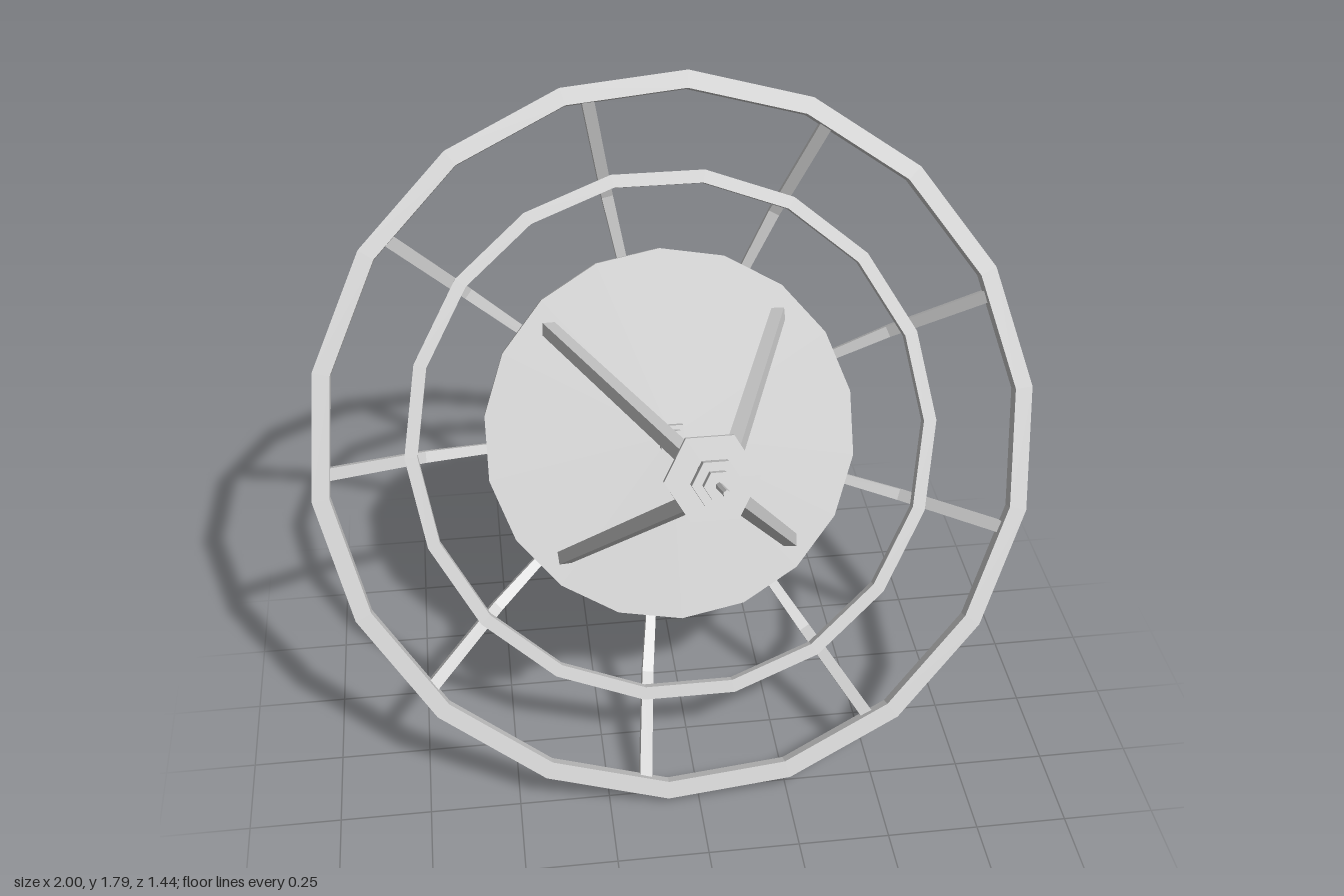
import * as THREE from 'three';

const material = new THREE.MeshStandardMaterial({ color: 0xcccccc, flatShading: true });

function add(parent, geometry, name) {
  const mesh = new THREE.Mesh(geometry, material);
  mesh.name = name;
  parent.add(mesh);
  return mesh;
}

// Polygonal hoop with a rectangular section, axis along z
function hoop(inner, outer, w, half, startDeg) {
  const profile = [[inner, -half], [outer, -half], [outer, half], [inner, half], [inner, -half]]
    .map(([r, h]) => new THREE.Vector2(r, h));
  const g = new THREE.LatheGeometry(profile, 18, THREE.MathUtils.degToRad(startDeg));
  return g.rotateX(Math.PI / 2).translate(0, 0, w);
}

// Prism along z from w0 to w1
function prism(radius, w0, w1, sides, startDeg = 0) {
  const g = new THREE.CylinderGeometry(radius, radius, w1 - w0, sides, 1, false, THREE.MathUtils.degToRad(startDeg));
  return g.rotateX(Math.PI / 2).translate(0, 0, (w0 + w1) / 2);
}

// Square bar between two points
function bar(a, b, size) {
  const g = new THREE.BoxGeometry(size, size, a.distanceTo(b));
  const m = new THREE.Object3D();
  m.position.copy(a).add(b).multiplyScalar(0.5);
  m.lookAt(b);
  m.updateMatrix();
  return g.applyMatrix4(m.matrix);
}

// Bent, tapering rib in the x-z plane: path entries are [radius, depth, half thickness]
function ribGeometry(path) {
  const positions = [], index = [];
  path.forEach(([r, w, t], i) => {
    const p = path[Math.max(i - 1, 0)], q = path[Math.min(i + 1, path.length - 1)];
    const d = new THREE.Vector2(q[0] - p[0], q[1] - p[1]).normalize();
    const nx = -d.y * t, nz = d.x * t;
    // Corners run counter-clockwise about the path direction
    for (const [s, side] of [[1, -1], [-1, -1], [-1, 1], [1, 1]]) {
      positions.push(r + nx * s, side * t, w + nz * s);
    }
    if (i > 0) {
      const a = (i - 1) * 4, b = i * 4;
      for (let k = 0; k < 4; k++) {
        const n = (k + 1) % 4;
        index.push(a + k, a + n, b + k, a + n, b + n, b + k);
      }
    }
  });
  const e = (path.length - 1) * 4;
  index.push(0, 2, 1, 0, 3, 2, e, e + 1, e + 2, e, e + 2, e + 3);
  const g = new THREE.BufferGeometry();
  g.setAttribute('position', new THREE.Float32BufferAttribute(positions, 3));
  g.setIndex(index);
  g.computeVertexNormals();
  return g;
}

export function createModel() {
  const model = new THREE.Group();
  model.name = 'dishAntenna';

  // The whole dish is built facing +z, then tilted upwards
  const dish = new THREE.Group();
  dish.name = 'tiltedDish';
  dish.position.set(0, 0.895, -0.185);
  dish.rotation.x = THREE.MathUtils.degToRad(-28);
  model.add(dish);

  // Rings and central plate
  add(dish, hoop(0.955, 1.003, 0, 0.023, 15), 'outerRing');
  add(dish, hoop(0.712, 0.748, -0.1, 0.018, 10), 'innerRing');
  add(dish, prism(0.529, -0.208, -0.167, 18), 'reflectorPlate');

  // Nine curved ribs behind the plate
  const ribs = new THREE.Group();
  ribs.name = 'ribs';
  dish.add(ribs);
  const rib = ribGeometry([[0.975, 0, 0.017], [0.7, -0.213, 0.016], [0.385, -0.322, 0.012], [0.105, -0.362, 0.008]]);
  for (let i = 0; i < 9; i++) {
    add(ribs, rib, 'rib').rotation.z = THREE.MathUtils.degToRad(21.2 + 40 * i);
  }

  // Four struts that carry the feed
  for (const sx of [-1, 1]) {
    for (const sy of [-1, 1]) {
      const foot = new THREE.Vector3(sx * 0.325, sy * 0.325, -0.165);
      const head = new THREE.Vector3(sx * 0.055, sy * 0.055, 0.755);
      add(dish, bar(foot, head, 0.036), 'strut');
    }
  }

  // Central socket and thin rod
  add(dish, new THREE.BoxGeometry(0.066, 0.066, 0.045).translate(0, 0, -0.152), 'socketBase');
  add(dish, new THREE.BoxGeometry(0.042, 0.042, 0.035).translate(0, 0, -0.113), 'socketNeck');
  add(dish, prism(0.009, -0.12, 0.76, 6), 'centreRod');

  // Feed head: hexagonal plate, stacked collars and tip
  const feed = new THREE.Group();
  feed.name = 'feedHead';
  dish.add(feed);
  add(feed, prism(0.115, 0.75, 0.77, 6, 30), 'feedPlate');
  add(feed, prism(0.045, 0.77, 0.83, 8), 'feedBody');
  add(feed, prism(0.06, 0.83, 0.865, 6, 30), 'feedCollar');
  add(feed, prism(0.036, 0.865, 0.895, 6, 30), 'feedCap');
  add(feed, prism(0.009, 0.895, 1.027, 6), 'feedTip');

  return model;
}
